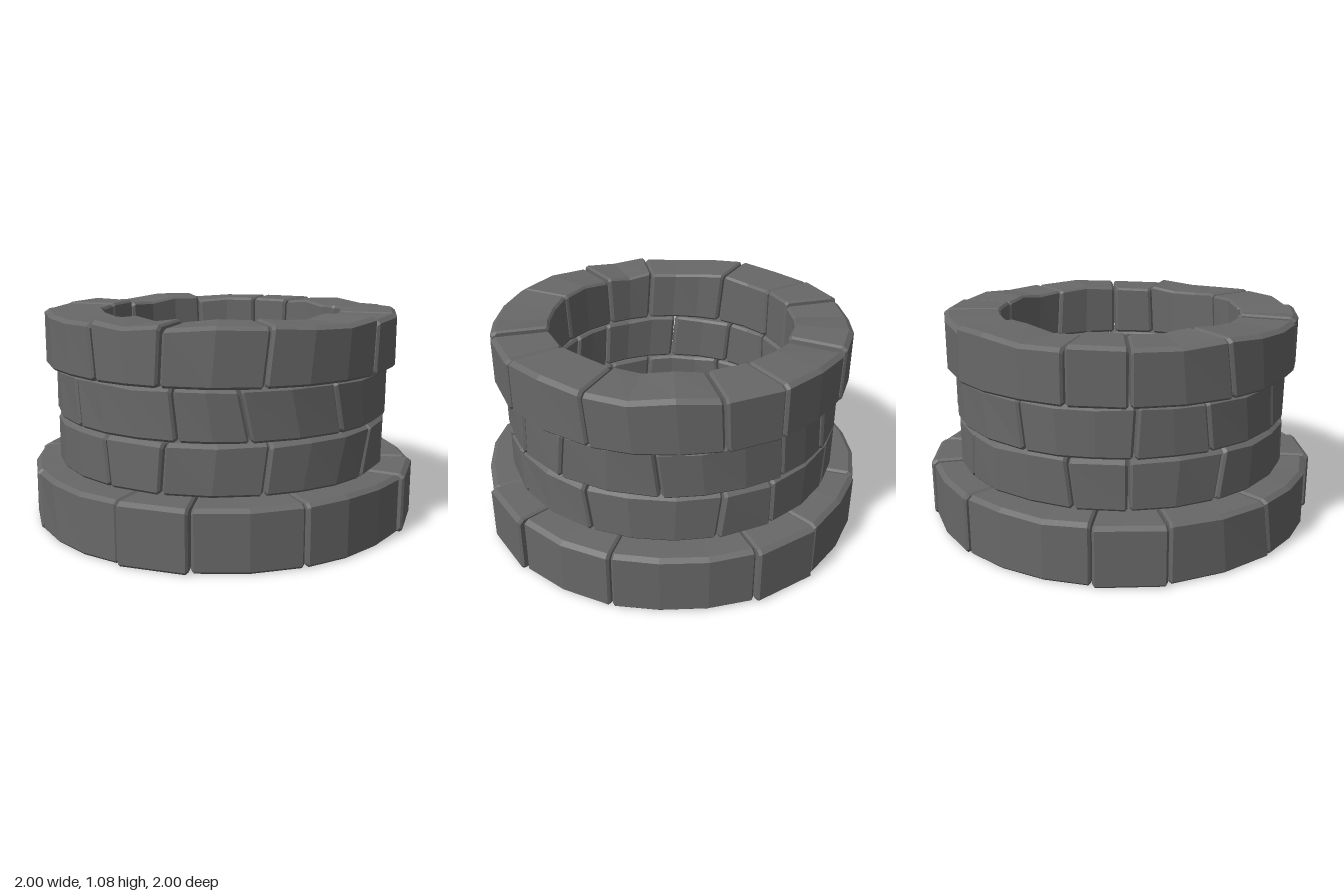
import * as THREE from 'three';

const material = new THREE.MeshStandardMaterial({ color: 0x686868, flatShading: true });
const DEG = Math.PI / 180;
const GAP = 0.005, BEVEL = 0.012;

// Small seeded generator, returns -1..1
let seed = 11;
const jitter = () => {
  seed = (seed * 16807) % 2147483647;
  return (seed / 2147483647) * 2 - 1;
};

// Each course: radii, heights, joint angles and joint leans (degrees from +x towards +z)
const courses = [
  {
    name: 'baseCourse', inner: 0.62, outer: 0.992, bulge: 0.02, bottom: 0, top: 0.305, dip: 0.01,
    joints: [10, 49.5, 80, 100, 138, 170, 190, 230, 260, 280, 320, 350],
    leans: [0, 0, 0, 0, 3.2, 0, 0, 0, 0, 0, 0, 0],
  },
  {
    name: 'lowerCourse', inner: 0.617, outer: 0.857, bulge: 0.004, bottom: 0.306, top: 0.556, dip: 0.012,
    joints: [2, 18.2, 58, 90, 110, 150, 180, 198, 240, 270, 288, 330.7],
    leans: [2.1, -6, -2.1, -1.4, 1.9, -2.8, 0, 2, -2, 0, -2, 2.4],
  },
  {
    name: 'upperCourse', inner: 0.617, outer: 0.861, bulge: 0.004, bottom: 0.555, top: 0.808, dip: 0.014,
    joints: [33.5, 65, 86, 124.2, 155, 178, 214, 246, 267, 307.5, 339.2, 357.9],
    leans: [3.9, 3.5, 1.8, 2.2, 2, -1, 2, 2, 1, 2, -2.3, -1.5],
  },
  {
    name: 'rimCourse', inner: 0.62, outer: 0.908, bulge: 0.004, bottom: 0.806, top: 1.085, dip: 0.024,
    joints: [-0.5, 19.5, 59, 89, 112, 150, 180, 198, 240, 270, 288.5, 328],
    leans: [0, -1.3, -2, -1.1, 1.8, 2.6, 0, 0, -1, 0, 1, 1.8],
  },
];

// Chamfered cross-section in (radius, y), shrunk by inset
function profile(inner, outer, bottom, top, inset) {
  const a = inner + inset, b = outer - inset, c = bottom + inset, d = top - inset;
  return [
    [a + BEVEL, c], [b - BEVEL, c], [b, c + BEVEL], [b, d - BEVEL * 1.4],
    [b - BEVEL * 2, d], [a + BEVEL, d], [a, d - BEVEL], [a, c + BEVEL],
  ];
}

// Sweeps the cross-section from one joint to the next, with bevelled ends
function stoneGeometry(course, from, to) {
  const span = to.angle - from.angle;
  const steps = Math.max(1, Math.round(span / 14));
  const middle = (course.bottom + course.top) / 2;
  const height = course.top - course.bottom;
  const sections = [{ t: 0, shift: GAP, inset: BEVEL * 0.8 }];
  for (let i = 0; i <= steps; i++) {
    const shift = i === 0 ? GAP + BEVEL : i === steps ? -GAP - BEVEL : 0;
    sections.push({ t: i / steps, shift, inset: 0 });
  }
  sections.push({ t: 1, shift: -GAP, inset: BEVEL * 0.8 });

  // Gentle unevenness, shared by each end's cap and its bevel
  const wear = Array.from({ length: steps + 1 }, () => ({
    top: (jitter() - 1) * 0.5 * course.dip,
    outer: steps === 1 ? course.bulge : jitter() * 0.005,
  }));
  const points = [];
  for (const { t, shift, inset } of sections) {
    const w = wear[Math.round(t * steps)];
    const lean = from.lean + (to.lean - from.lean) * t;
    const ring = profile(course.inner, course.outer + w.outer, course.bottom, course.top + w.top, inset);
    for (const [r, y] of ring) {
      const angle = (from.angle + span * t + lean * (y - middle) / height) * DEG + shift / r;
      points.push(r * Math.cos(angle), y, r * Math.sin(angle));
    }
  }

  const n = 8, index = [], last = (sections.length - 1) * n;
  for (let s = 0; s < sections.length - 1; s++) {
    for (let j = 0; j < n; j++) {
      const a = s * n + j, b = s * n + (j + 1) % n;
      index.push(a, b, b + n, a, b + n, a + n);
    }
  }
  for (let j = 1; j < n - 1; j++) {
    index.push(0, j + 1, j, last, last + j, last + j + 1);
  }
  const indexed = new THREE.BufferGeometry();
  indexed.setAttribute('position', new THREE.Float32BufferAttribute(points, 3));
  indexed.setIndex(index);
  const geometry = indexed.toNonIndexed();
  geometry.computeVertexNormals();
  return geometry;
}

// One ring of twelve stones
function createCourse(course) {
  const group = new THREE.Group();
  group.name = course.name;
  const joints = course.joints.map((angle, i) => ({ angle, lean: course.leans[i] }));
  joints.push({ angle: joints[0].angle + 360, lean: joints[0].lean });
  for (let i = 0; i < joints.length - 1; i++) {
    const stone = new THREE.Mesh(stoneGeometry(course, joints[i], joints[i + 1]), material);
    stone.name = 'stone';
    group.add(stone);
  }
  return group;
}

export function createModel() {
  const model = new THREE.Group();
  model.name = 'stoneWell';
  courses.forEach((course) => model.add(createCourse(course)));
  return model;
}
